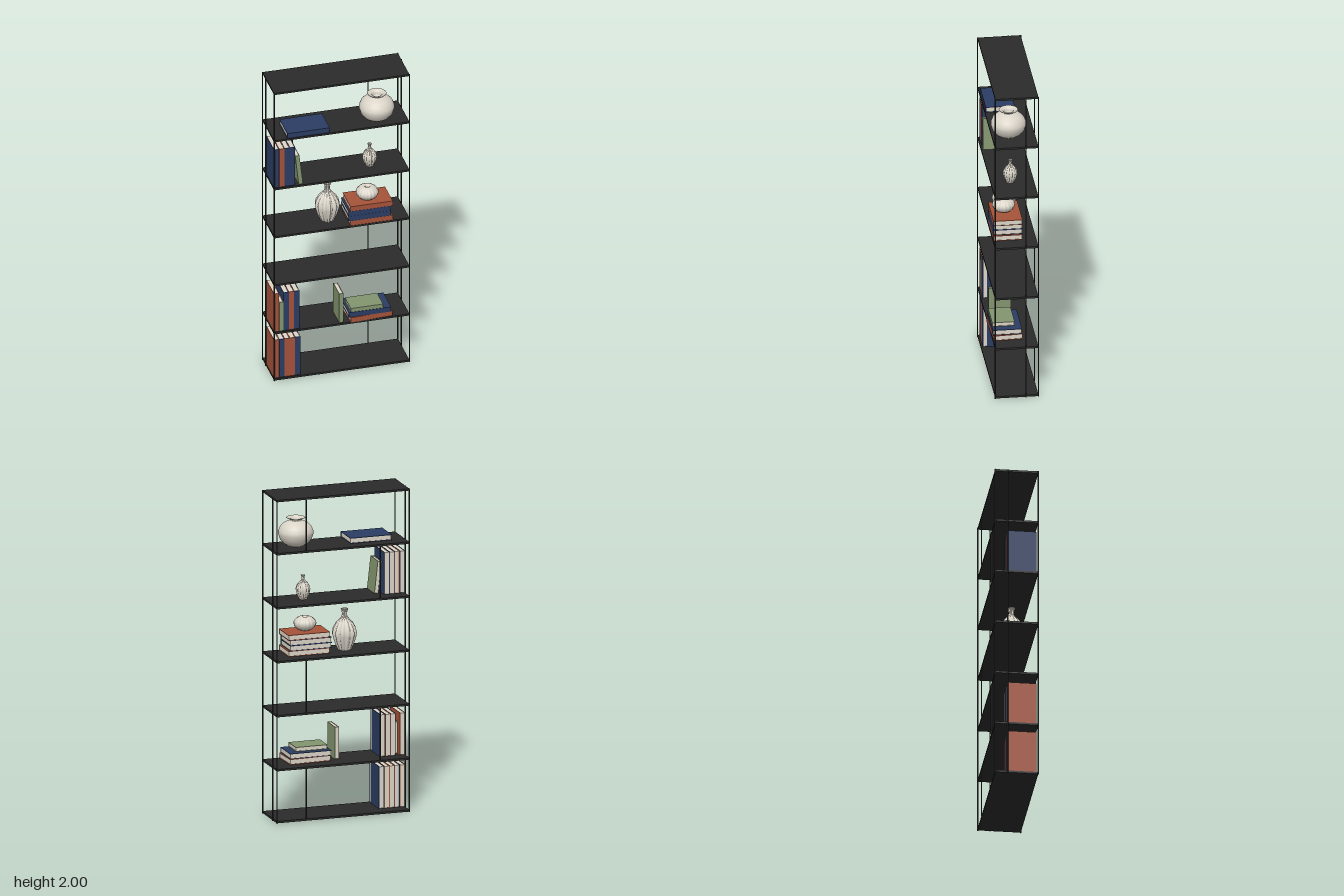
import * as THREE from 'three';

const material = (name, color, side = THREE.FrontSide) => {
  const m = new THREE.MeshStandardMaterial({ color, side });
  m.name = name;
  return m;
};

export function createModel() {
  const root = new THREE.Group();
  root.name = 'shelvingUnit';

  const metal = material('blackMetal', 0x2b2b2b);
  const navy = material('navyCover', 0x2b3d63);
  const rust = material('rustCover', 0xa5533a);
  const green = material('greenCover', 0x83956f);
  const paper = material('paper', 0xded6c8);
  const ceramic = material('ceramic', 0xdad4c8, THREE.DoubleSide);

  const add = (parent, name, geometry, mat, x, y, z) => {
    const mesh = new THREE.Mesh(geometry, mat);
    mesh.name = name;
    mesh.position.set(x, y, z);
    parent.add(mesh);
    return mesh;
  };
  const box = (parent, name, mat, w, h, d, x, y, z) =>
    add(parent, name, new THREE.BoxGeometry(w, h, d), mat, x, y, z);

  // Shelves
  const T = 0.012;
  const tops = [0.014, 0.335, 0.669, 1.003, 1.337, 1.671, 2.0];
  for (const y of tops) box(root, 'shelf', metal, 0.84, T, 0.26, 0, y - T / 2, 0);

  // Full-height posts, three on each side
  const post = (name, x, z, y0, y1, r) =>
    add(root, name, new THREE.CylinderGeometry(r, r, y1 - y0, 10), metal, x, (y0 + y1) / 2, z);
  for (const x of [-0.42, 0.42]) {
    for (const z of [-0.13, -0.055, 0.13]) post('post', x, z, 0, 2, 0.004);
  }

  // Short back rods, staggered from bay to bay
  for (const [bay, x] of [[0, 0.235], [1, -0.235], [2, 0.235], [4, -0.235], [5, 0.235]]) {
    post('backRod', x, -0.13, tops[bay], tops[bay + 1] - T, 0.004);
  }

  // Book: spine faces +z, two cover boards with an inset page block
  const book = (mat, h, d, t, hinge = 0) => {
    const g = new THREE.Group();
    g.name = 'book';
    const c = 0.003;
    const e = 0.003;
    box(g, 'pages', paper, t - 2 * c, h - 2 * e, d - c - e, 0, 0, (e - c) / 2);
    box(g, 'spine', mat, t, h, c, 0, 0, (d - c) / 2);
    box(g, 'leftBoard', mat, c, h, d - c - hinge, (t - c) / 2, 0, -(c + hinge) / 2);
    box(g, 'rightBoard', mat, c, h, d - c, -(t - c) / 2, 0, -c / 2);
    // Page edge exposed in the hinge gap
    if (hinge) box(g, 'hingeGap', paper, 0.001, h - 2 * e, hinge, t / 2 - c, 0, (d - hinge) / 2 - c);
    root.add(g);
    return g;
  };
  const LARGE = [0.263, 0.175, 0.0325];
  const SMALL = [0.2, 0.135, 0.026];
  const FRONT = 0.119;
  const sizeOf = (mat) => (mat === green ? SMALL : LARGE);

  // Row of upright books starting at the right end of a shelf
  const row = (y, mats, hinge) => {
    let x = -0.418;
    mats.forEach((mat, i) => {
      const [h, d, t] = sizeOf(mat);
      const last = i === mats.length - 1;
      book(mat, h, d, t, last ? hinge : 0).position.set(x + t / 2, y + h / 2, FRONT - d / 2);
      x += t + 0.0005;
    });
  };
  row(tops[0], [rust, navy, rust, rust, navy], 0.022);
  row(tops[1], [rust, green, navy, rust, navy], 0.022);
  row(tops[4], [navy, rust, navy, navy], 0);

  // Single green books, one upright and one leaning
  book(green, ...SMALL).position.set(0, tops[1] + 0.1, FRONT - 0.0675);
  const leaning = book(green, ...SMALL);
  leaning.position.set(-0.262, tops[4] + 0.1005, FRONT - 0.0675);
  leaning.rotation.z = 0.11;

  // Stacks of lying books: [material, x, z, turn]
  const stack = (y, items) => {
    for (const [mat, x, z, turn] of items) {
      const [h, d, t] = sizeOf(mat);
      const b = book(mat, h, d, t);
      b.rotation.order = 'YXZ';
      b.rotation.set(0, turn, Math.PI / 2);
      b.position.set(x, y + t / 2, z);
      y += t + 0.0005;
    }
  };
  stack(tops[1], [[rust, 0.181, 0.042, 0.05], [navy, 0.175, 0.042, 0], [green, 0.157, 0.06, 0]]);
  stack(tops[3], [[rust, 0.186, 0.04, 0], [navy, 0.175, 0.04, 0], [navy, 0.175, 0.04, 0], [rust, 0.186, 0.04, 0]]);
  stack(tops[5], [[navy, -0.205, 0.037, 0]]);

  // Lathe-turned vessel with optional vertical flutes
  const vessel = (name, profile, x, y, z, scale = 1, flutes = 0, depth = 0) => {
    const points = profile.map(([r, h]) => new THREE.Vector2(r, h));
    const geometry = new THREE.LatheGeometry(points, flutes ? flutes * 6 : 40);
    if (flutes) {
      const p = geometry.attributes.position;
      for (let i = 0; i < p.count; i++) {
        const a = Math.atan2(p.getX(i), p.getZ(i));
        const k = 1 - depth * (1 - Math.abs(Math.cos((a * flutes) / 2)));
        p.setX(i, p.getX(i) * k);
        p.setZ(i, p.getZ(i) * k);
      }
      geometry.computeVertexNormals();
    }
    add(root, name, geometry, ceramic, x, y, z).scale.setScalar(scale);
  };

  // Round pot with a flared lip
  vessel('roundPot', [
    [0, 0], [0.052, 0], [0.078, 0.018], [0.097, 0.042], [0.106, 0.072], [0.105, 0.09],
    [0.095, 0.115], [0.075, 0.135], [0.05, 0.147], [0.034, 0.151], [0.034, 0.158], [0.042, 0.165],
    [0.058, 0.17], [0.055, 0.172], [0.032, 0.165], [0.028, 0.15], [0.028, 0.13], [0, 0.12],
  ], 0.245, tops[5], 0.029);

  // Fluted bud vases, large and small
  const bud = [
    [0, 0], [0.042, 0], [0.046, 0.012], [0.063, 0.05], [0.074, 0.09], [0.076, 0.108],
    [0.07, 0.135], [0.053, 0.165], [0.031, 0.188], [0.019, 0.203], [0.015, 0.218],
    [0.017, 0.235], [0.023, 0.252], [0.019, 0.25], [0.012, 0.22], [0, 0.2],
  ];
  vessel('largeBudVase', bud, -0.058, tops[3], 0.013, 1, 12, 0.16);
  vessel('smallBudVase', bud, 0.205, tops[4], 0.013, 0.59, 12, 0.16);

  // Squat bowl on the upper stack
  vessel('squatBowl', [
    [0, 0], [0.028, 0], [0.048, 0.009], [0.063, 0.025], [0.07, 0.043], [0.065, 0.058],
    [0.051, 0.073], [0.034, 0.082], [0.02, 0.084], [0.016, 0.078], [0, 0.068],
  ], 0.18, tops[3] + 0.132, 0.05, 1, 16, 0.06);

  return root;
}
